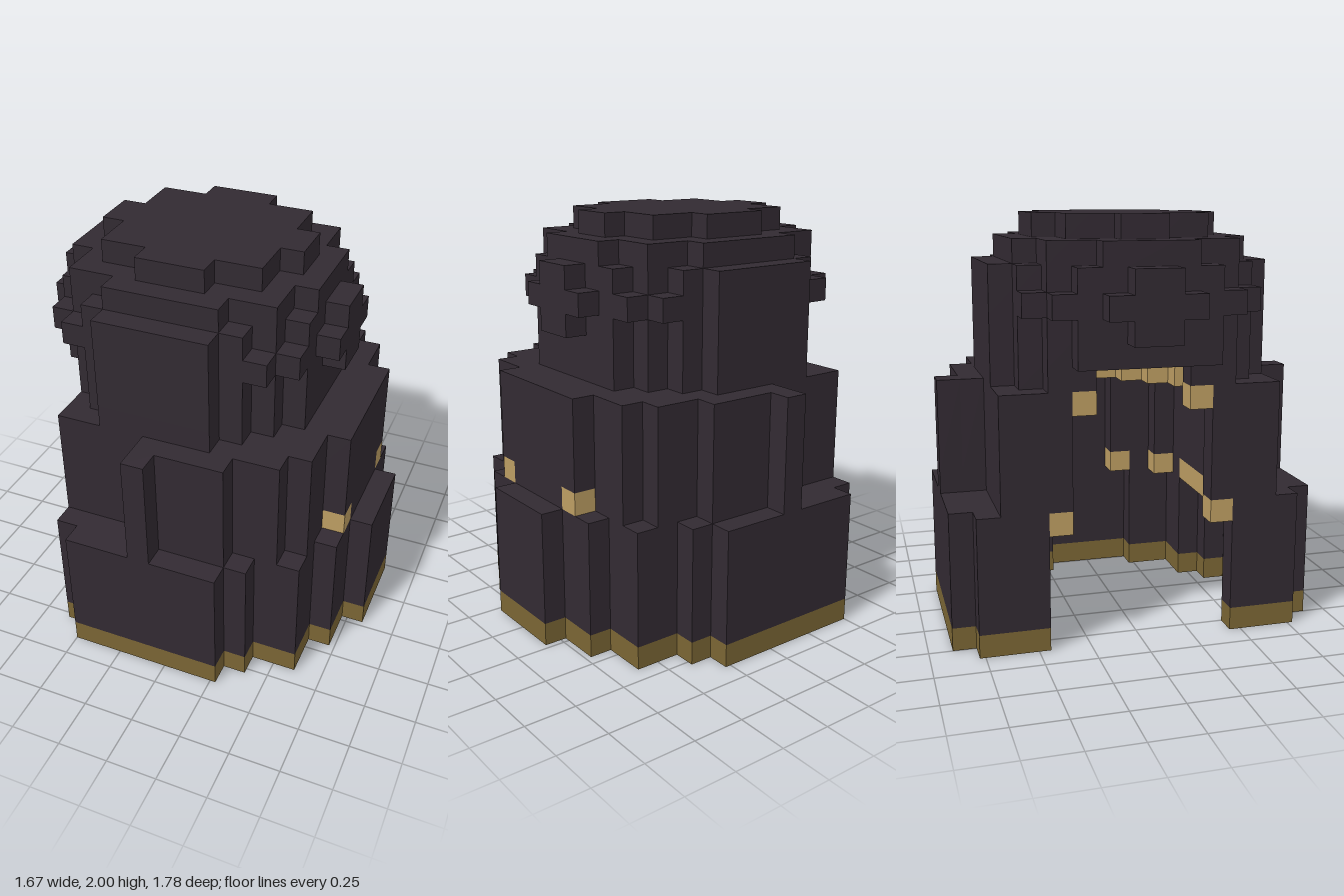
import * as THREE from 'three';
import { mergeGeometries } from 'three/addons/utils/BufferGeometryUtils.js';

const U = 1 / 9; // one block

// A block run: rows m0..m1 counted outward from the middle, columns i0..i1 along x.
// Every run is mirrored in z; runs that touch the middle become one box.
function runGeometry([m0, m1, i0, i1], y0, y1) {
  const box = (za, zb) => new THREE.BoxGeometry((i1 - i0) * U, (y1 - y0) * U, (zb - za) * U)
    .translate(((i0 + i1) / 2 - 7.5) * U, (y0 + y1) / 2 * U, (za + zb) / 2 * U);
  return m0 === 0 ? [box(-m1, m1)] : [box(m0, m1), box(-m1, -m0)];
}

export function createModel() {
  const model = new THREE.Group();
  const material = (name, color) => {
    const m = new THREE.MeshStandardMaterial({ color });
    m.name = name;
    return m;
  };
  const dark = material('dark cloth', 0x322a32);
  const gold = material('dark gold hem', 0x7a6534);
  const tan = material('tan lining', 0xbc9d62);

  const slab = (name, mat, y0, y1, runs) => {
    const mesh = new THREE.Mesh(mergeGeometries(runs.flatMap(r => runGeometry(r, y0, y1))), mat);
    mesh.name = name;
    model.add(mesh);
  };

  // Lower skirt: hollow ring, open towards -x, with a gold hem
  const skirt = [
    [0, 2, 12, 15], [2, 4, 11, 14], [4, 5, 2, 3], [4, 5, 9, 13],
    [5, 6, 2, 4], [5, 6, 8, 13], [6, 7, 2, 11], [7, 8, 3, 10],
  ];
  slab('hem', gold, 0, 1, skirt);
  slab('lowerSkirt', dark, 1, 6, skirt);

  // Tan lining inside the top of the lower skirt
  slab('skirtLining', tan, 5, 6, [
    [1, 2, 11, 12], [3, 4, 2, 3], [3, 4, 10, 11], [4, 5, 3, 9], [5, 6, 4, 8],
  ]);

  // Middle tier, with a tan block at the foot of each +x corner
  const middle = [
    [0, 1, 12, 14], [1, 2, 11, 14], [3, 4, 2, 3], [3, 4, 10, 13],
    [4, 5, 2, 13], [5, 6, 2, 12], [6, 7, 6, 10], [7, 8, 6, 7],
  ];
  slab('middleTierBase', dark, 6, 7, [...middle, [2, 3, 11, 13]]);
  slab('cornerBlocks', tan, 6, 7, [[2, 3, 13, 14]]);
  slab('middleTier', dark, 7, 11, [...middle, [2, 3, 11, 14]]);

  // Tan lining inside the top of the middle tier
  slab('middleLining', tan, 10, 11, [
    [0, 1, 10, 12], [1, 2, 9, 11], [2, 3, 2, 3], [2, 3, 8, 11], [3, 4, 3, 4], [3, 4, 7, 10],
  ]);

  // Bottom course of the hood, open towards -x
  slab('hoodBase', dark, 11, 12, [
    [0, 1, 10, 12], [1, 2, 9, 12], [2, 3, 2, 3], [2, 3, 8, 12],
    [3, 4, 2, 4], [3, 4, 7, 11], [4, 5, 3, 10], [5, 6, 4, 9],
  ]);

  // Rounded hood: half widths per row around the centre column, one list per course
  const courses = [
    [5, 5, 5, 4, 3, 2],
    [6, 5, 5, 4, 3, 2],
    [6, 6, 5, 5, 4, 2],
    [6, 5, 5, 4, 3, 2],
    [5, 5, 4, 4, 2],
    [4, 3, 3, 1],
  ];
  const hollowEnd = [10, 9, 8]; // inner hollow of the two lowest courses
  courses.forEach((widths, n) => {
    const runs = widths.flatMap((w, m) => {
      const a = 6 - w, b = 7 + w;
      return n < 2 && m < 3
        ? [[m, m + 1, a, 3], [m, m + 1, hollowEnd[m], b]]
        : [[m, m + 1, a, b]];
    });
    slab('hoodCourse' + (n + 1), dark, 12 + n, 13 + n, runs);
  });

  return model;
}
